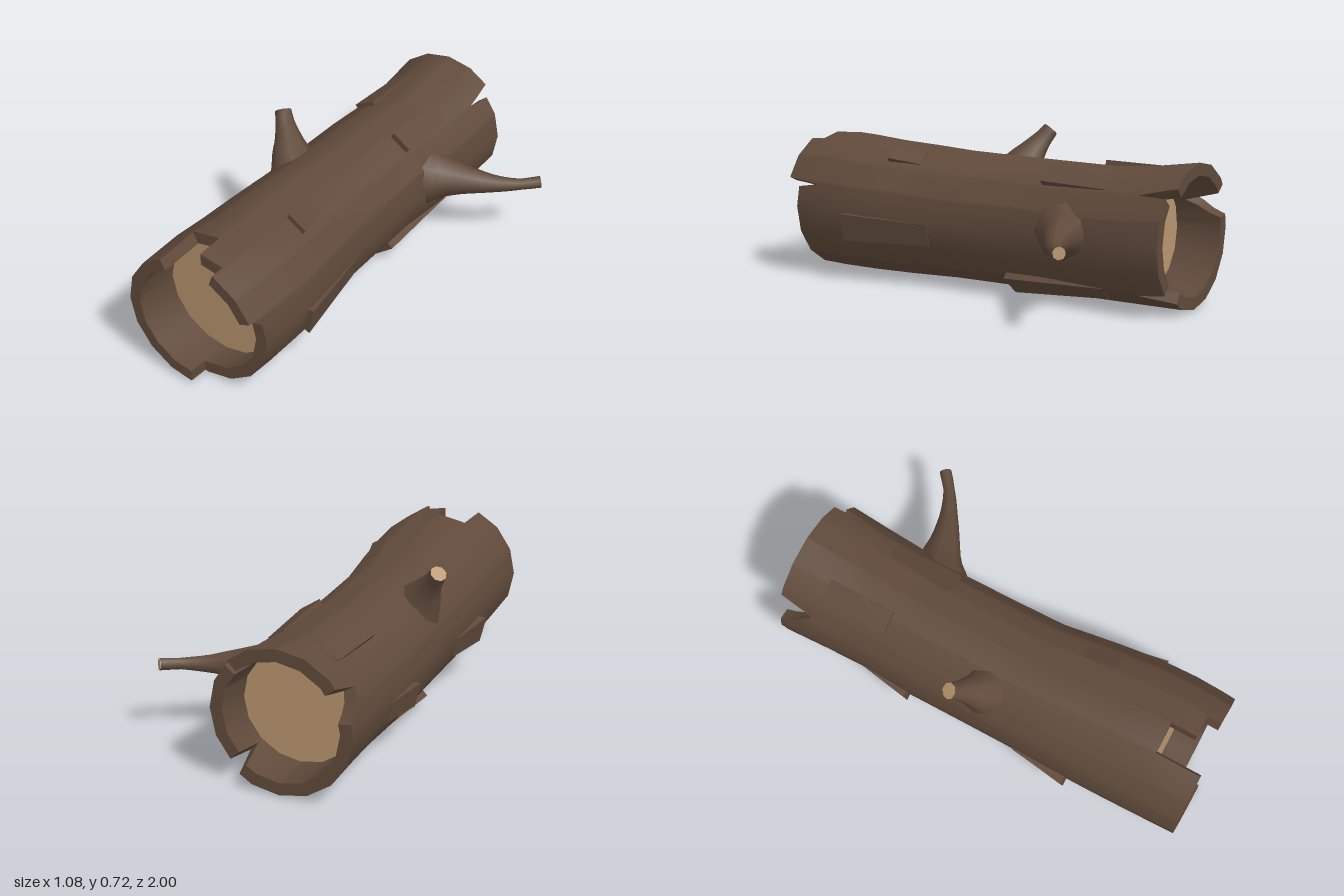
import * as THREE from 'three';
import { mergeVertices, toCreasedNormals } from 'three/addons/utils/BufferGeometryUtils.js';

const bark = new THREE.MeshStandardMaterial({ color: 0x604a3b });
bark.name = 'bark brown';
const wood = new THREE.MeshStandardMaterial({ color: 0xb8956e });
wood.name = 'cut wood tan';

const { lerp, degToRad } = THREE.MathUtils;
const SIDES = 16, STEP = 360 / SIDES, WALL = 0.055;

// Trunk cross-sections: z, centre x, centre y, radius x, radius y
const sections = [
  [-1, -0.18, 0.322, 0.322, 0.32],
  [-0.78, -0.18, 0.306, 0.31, 0.304],
  [-0.6, -0.183, 0.299, 0.302, 0.298],
  [-0.35, -0.2, 0.3, 0.299, 0.298],
  [-0.1, -0.2, 0.303, 0.299, 0.299],
  [0.15, -0.199, 0.306, 0.301, 0.302],
  [0.4, -0.186, 0.313, 0.322, 0.313],
  [0.6, -0.176, 0.319, 0.334, 0.319],
  [0.78, -0.175, 0.328, 0.334, 0.327],
  [1, -0.178, 0.328, 0.327, 0.319],
];

// Broken ends: angle in degrees, z of the end there
const frontEnd = [
  [-93.1, 1], [-92.9, 0.91], [17, 0.91], [20, 0.8], [24, 0.975], [68.9, 0.975], [69.1, 0.91],
  [88.9, 0.91], [89.1, 0.79], [113.9, 0.79], [114.1, 1], [266.9, 1],
];
const backEnd = [
  [-93.1, -0.99], [-56, -0.99], [-47, -0.82], [-43, -0.96], [39, -0.96], [43, -0.83], [48, -1],
  [142, -1], [149, -0.84], [165, -0.94], [170, -0.99], [266.9, -0.99],
];

// Linear interpolation in a table whose first column is the key
function lookup(table, key) {
  let i = 0;
  while (i < table.length - 2 && key > table[i + 1][0]) i++;
  const a = table[i], b = table[i + 1];
  const t = (key - a[0]) / (b[0] - a[0]);
  return a.map((v, k) => lerp(v, b[k], t));
}

// Point on the faceted trunk surface, moved outward by an offset
function trunkPoint(angle, z, offset = 0) {
  const [, cx, cy, rx, ry] = lookup(sections, z);
  const off = ((angle % STEP) + STEP) % STEP - STEP / 2;
  const flat = Math.cos(degToRad(STEP / 2)) / Math.cos(degToRad(off));
  const a = degToRad(angle);
  return [cx + Math.cos(a) * (rx + offset) * flat, cy + Math.sin(a) * (ry + offset) * flat, z];
}

// Hollow-ended shell: each column runs inner back, outer back, outer front, inner front
function trunkGeometry() {
  const angles = [...frontEnd, ...backEnd].map((e) => e[0]);
  for (let i = -4; i < SIDES - 4; i++) angles.push(i * STEP);
  const columns = [...new Set(angles)].sort((a, b) => a - b);
  columns.push(columns[0] + 360);
  const pos = [], index = [];
  const rows = sections.length + 4;
  columns.forEach((a, j) => {
    const key = j === columns.length - 1 ? columns[0] : a;
    const zf = lookup(frontEnd, key)[1], zb = lookup(backEnd, key)[1];
    pos.push(...trunkPoint(key, -0.78, -WALL), ...trunkPoint(key, zb, -WALL), ...trunkPoint(key, zb));
    for (const s of sections.slice(1, -1)) pos.push(...trunkPoint(key, s[0]));
    pos.push(...trunkPoint(key, zf), ...trunkPoint(key, zf, -WALL), ...trunkPoint(key, 0.78, -WALL));
    if (j === columns.length - 1) return;
    for (let k = 0; k < rows - 1; k++) {
      const p = j * rows + k, q = p + rows;
      index.push(p, q, q + 1, p, q + 1, p + 1);
    }
  });
  const g = new THREE.BufferGeometry();
  g.setAttribute('position', new THREE.Float32BufferAttribute(pos, 3));
  g.setIndex(index);
  return toCreasedNormals(g, degToRad(35));
}

// Lifted bark flake: a box bent onto the trunk, flush at z0 and raised at z1
function flakeGeometry(angle, width, z0, z1, lift) {
  const g = new THREE.BoxGeometry(1, 1, 1);
  const p = g.attributes.position;
  for (let i = 0; i < p.count; i++) {
    const front = p.getZ(i) > 0;
    const top = front ? lift : 0.004;
    const a = angle - p.getX(i) * width * (front ? 1 : 0.85);
    p.setXYZ(i, ...trunkPoint(a, front ? z1 : z0, p.getY(i) > 0 ? top : -0.03));
  }
  g.computeVertexNormals();
  return g;
}

// Tapering branch with a flared root and a sawn tip; each point is x, y, z, radius
function makeBranch(name, points) {
  const group = new THREE.Group();
  group.name = name;
  const curve = new THREE.CatmullRomCurve3(points.map((p) => new THREE.Vector3(p[0], p[1], p[2])));
  const n = 12, sides = 8;
  let g = new THREE.TubeGeometry(curve, n, 1, sides);
  const p = g.attributes.position, v = new THREE.Vector3();
  const radii = points.map((q, i) => [i / (points.length - 1), q[3]]);
  for (let i = 0; i < p.count; i++) {
    const u = Math.floor(i / (sides + 1)) / n;
    const c = curve.getPointAt(u);
    const r = lookup(radii, curve.getUtoTmapping(u))[1];
    v.fromBufferAttribute(p, i).sub(c).multiplyScalar(r).add(c);
    p.setXYZ(i, v.x, v.y, v.z);
  }
  g.deleteAttribute('uv');
  g.deleteAttribute('normal');
  g = mergeVertices(g, 1e-4);
  g.computeVertexNormals();
  const limb = new THREE.Mesh(g, bark);
  limb.name = name + 'Limb';
  const cap = new THREE.Mesh(new THREE.CircleGeometry(points.at(-1)[3], sides), wood);
  cap.name = name + 'CutTip';
  const dir = curve.getTangentAt(1);
  cap.position.copy(curve.getPointAt(1)).addScaledVector(dir, 0.001);
  cap.quaternion.setFromUnitVectors(new THREE.Vector3(0, 0, 1), dir);
  group.add(limb, cap);
  return group;
}

export function createModel() {
  const model = new THREE.Group();
  model.name = 'fallenLog';
  const add = (name, geometry, material) => {
    const mesh = new THREE.Mesh(geometry, material);
    mesh.name = name;
    model.add(mesh);
    return mesh;
  };

  add('trunk', trunkGeometry(), bark);

  // Recessed cut wood at both ends
  for (const [name, z] of [['frontCutWood', 0.785], ['backCutWood', -0.785]]) {
    const [, cx, cy, rx, ry] = lookup(sections, z);
    const disc = add(name, new THREE.CircleGeometry(1, SIDES), wood);
    disc.scale.set(rx - WALL + 0.002, ry - WALL + 0.002, 1);
    disc.position.set(cx, cy, z);
    if (z < 0) disc.rotation.y = Math.PI;
  }

  // Bark flakes: angle, width in degrees, flush z, raised z, lift
  const flakes = [
    [118, 20, -0.82, -0.5, 0.025],
    [56, 19, -0.66, -0.34, 0.03],
    [60, 17, 0.31, 0.47, 0.025],
    [192, 20, -0.56, -0.34, 0.03],
    [194, 20, 0.2, 0.47, 0.04],
    [-11, 22, 0.2, 0.63, 0.028],
    [-53, 24, -0.65, -0.17, 0.035],
    [236, 18, -0.35, 0.02, 0.035],
  ];
  flakes.forEach((f, i) => add('barkFlake' + (i + 1), flakeGeometry(...f), bark));

  model.add(makeBranch('leftBranch', [
    [0.03, 0.325, -0.48, 0.15], [0.12, 0.328, -0.515, 0.1], [0.22, 0.33, -0.545, 0.067],
    [0.34, 0.327, -0.595, 0.04], [0.44, 0.332, -0.65, 0.026], [0.515, 0.34, -0.712, 0.028],
  ]));
  model.add(makeBranch('rightBranch', [
    [-0.34, 0.44, 0.01, 0.15], [-0.4, 0.53, -0.01, 0.095], [-0.44, 0.595, -0.038, 0.062],
    [-0.475, 0.645, -0.065, 0.044], [-0.506, 0.692, -0.092, 0.037],
  ]));
  return model;
}
